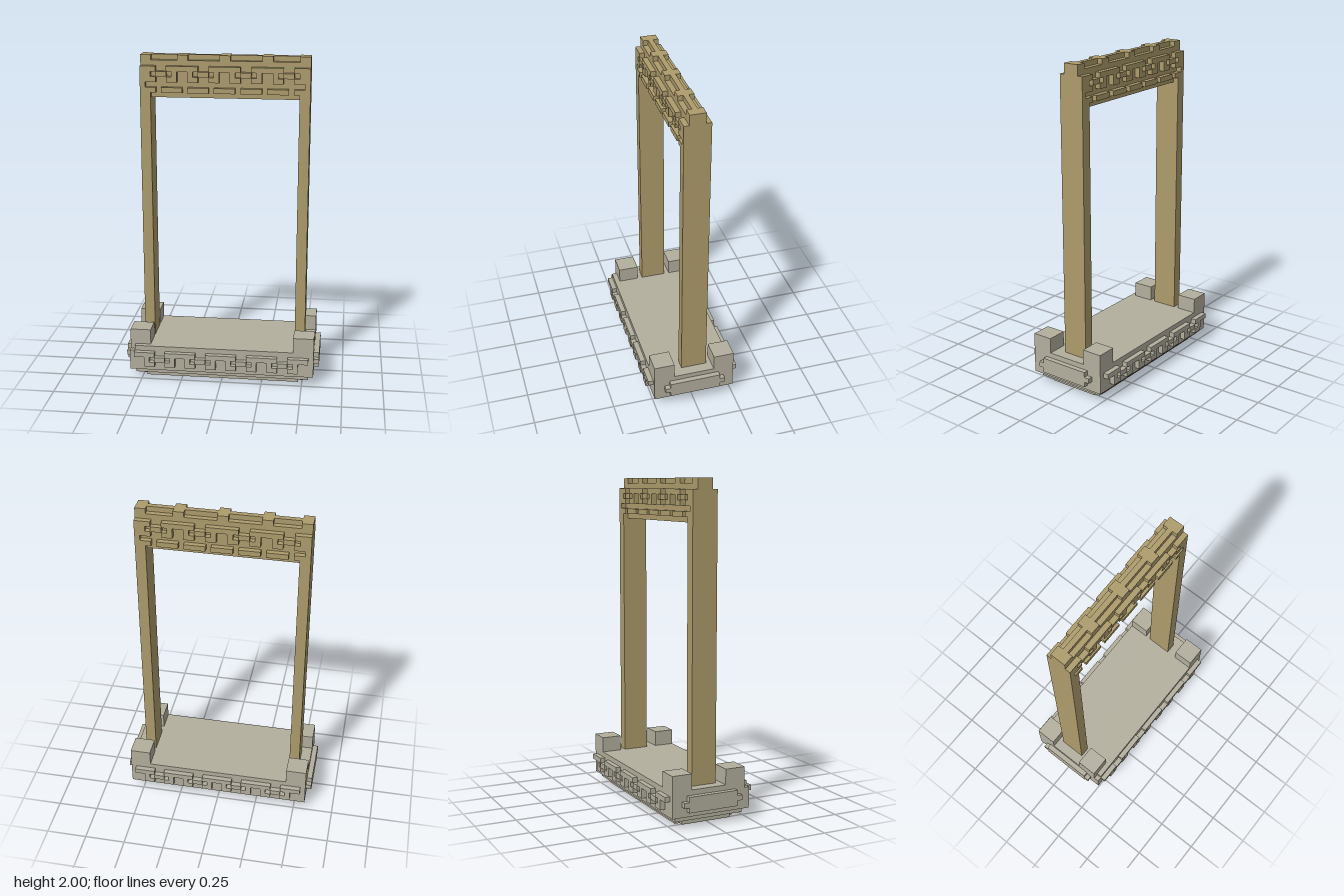
import * as THREE from 'three';
import { mergeGeometries } from 'three/addons/utils/BufferGeometryUtils.js';

const U = 2 / 63; // one block

const stone = new THREE.MeshStandardMaterial({ color: 0xb3af9e });
stone.name = 'paleStone';
const timber = new THREE.MeshStandardMaterial({ color: 0xad9c6c });
timber.name = 'tanTimber';

// Box from opposite corners, in blocks
function block(x0, x1, y0, y1, z0, z1) {
  const g = new THREE.BoxGeometry((x1 - x0) * U, (y1 - y0) * U, (z1 - z0) * U);
  g.translate((x0 + x1) / 2 * U, (y0 + y1) / 2 * U, (z0 + z1) / 2 * U);
  return g;
}

function part(name, material, boxes) {
  const mesh = new THREE.Mesh(mergeGeometries(boxes.map(b => block(...b))), material);
  mesh.name = name;
  return mesh;
}

// Three-row scroll frieze, repeating every eight blocks and clipped to +-limit
function frieze(y, z0, z1, limit) {
  const boxes = [];
  const rows = [
    [[-3, 3]],
    [[-5, -3], [-2, -1], [1, 2], [3, 5]],
    [[-3, -1], [1, 3]],
  ];
  for (let c = -16; c <= 16; c += 8) {
    rows.forEach((row, i) => row.forEach(([a, b]) => {
      const x0 = Math.max(c + a, -limit), x1 = Math.min(c + b, limit);
      if (x1 > x0) boxes.push([x0, x1, y + 2 - i, y + 3 - i, z0, z1]);
    }));
  }
  return boxes;
}

export function createModel() {
  const model = new THREE.Group();
  model.name = 'gateway';

  // Stepped plinth
  const base = new THREE.Group();
  base.name = 'base';
  base.add(part('foot', stone, [[-16, 16, 0, 1, -5, 5], [-15, 15, 0, 1, -6, 6]]));
  base.add(part('lowerStep', stone, [[-17, 17, 1, 2, -7, 7]]));
  base.add(part('slab', stone, [
    [-18, 18, 2, 6, -8, 8],
    [-18, 18, 6, 7, -8, 7],
    [-17, 18, 6, 7, 7, 8],
  ]));

  // Corner posts, one set slightly inward
  base.add(part('cornerPosts', stone, [
    [-18, -14, 7, 10, -8, -4],
    [14, 18, 7, 10, -8, -4],
    [-18, -14, 7, 10, 3, 7],
    [14, 18, 7, 10, 4, 8],
  ]));

  // Carved bands on the long sides and plain panels on the ends
  base.add(part('frontFrieze', stone, frieze(3, 8, 9, 17)));
  base.add(part('backFrieze', stone, frieze(3, -9, -8, 17)));
  for (const [name, x0, x1] of [['leftPanel', 18, 19], ['rightPanel', -19, -18]]) {
    base.add(part(name, stone, [[x0, x1, 3, 6, -5, 5], [x0, x1, 4, 5, -6, 6]]));
  }
  model.add(base);

  // Uprights, with a thin outer strip rising beside the lintel
  const gate = new THREE.Group();
  gate.name = 'gate';
  for (const s of [1, -1]) {
    const span = (a, b) => (s > 0 ? [a, b] : [-b, -a]);
    gate.add(part(s > 0 ? 'leftPillar' : 'rightPillar', timber, [
      [...span(14, 16), 7, 56, -3, 2],
      [...span(15, 16), 56, 61, -3, 2],
    ]));
  }

  // Lintel core with a crest ridge and raised crest blocks
  gate.add(part('lintel', timber, [[-16, 16, 55, 62, -2, 1]]));
  const crest = [[-16, 16, 62, 63, -1, 0]];
  for (const [a, b] of [[-16, -14], [-9, -7], [-1, 1], [7, 9], [14, 16]]) {
    crest.push([a, b, 62, 63, 0, 1], [a, b, 62, 63, -2, -1]);
  }
  gate.add(part('crest', timber, crest));

  // Carving on both faces of the lintel
  for (const [side, z0, z1] of [['front', 1, 2], ['back', -3, -2]]) {
    gate.add(part(side + 'LintelFrieze', timber, frieze(58, z0, z1, 15)));
    const dashes = [[-15, -13, 56, 57, z0, z1], [13, 15, 56, 57, z0, z1]];
    for (let x = -12; x <= 8; x += 5) dashes.push([x, x + 4, 56, 57, z0, z1]);
    gate.add(part(side + 'LintelTrim', timber, dashes));
  }
  model.add(gate);

  return model;
}
